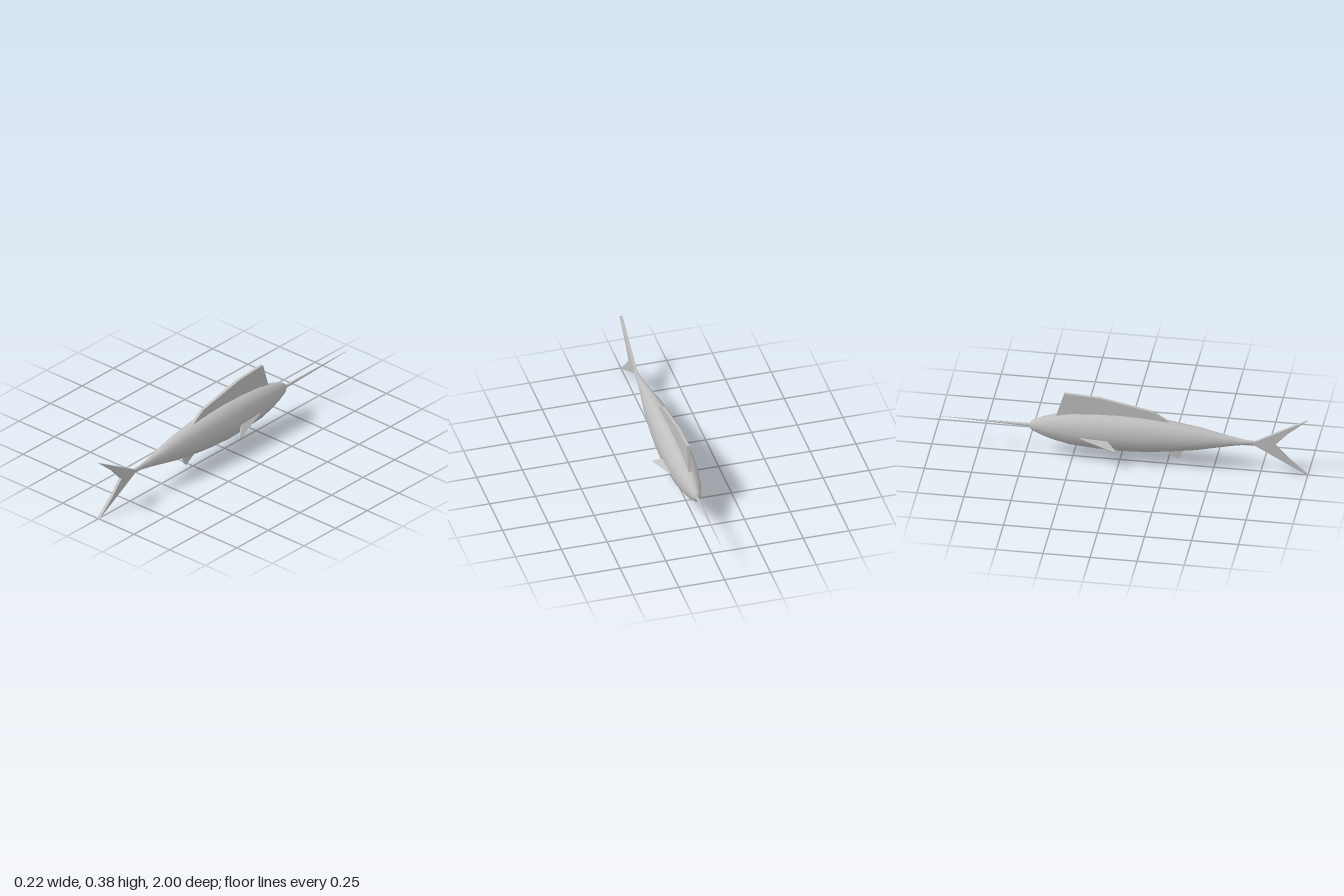
import * as THREE from 'three';

const MID = 0.17; // height of the body axis

// Flat fin: outline given as [z, y] points, thickness along x
function finGeometry(points, thickness) {
  const shape = new THREE.Shape(points.map(([z, y]) => new THREE.Vector2(z, y)));
  const geo = new THREE.ExtrudeGeometry(shape, { depth: thickness, bevelEnabled: false });
  geo.translate(0, 0, -thickness / 2);
  geo.rotateY(-Math.PI / 2);
  return geo;
}

export function createModel() {
  const model = new THREE.Group();
  model.name = 'billfish';
  const grey = new THREE.MeshStandardMaterial({ color: 0xc0c0c0 });
  grey.name = 'plain grey';

  const add = (name, geo) => {
    const mesh = new THREE.Mesh(geo, grey);
    mesh.name = name;
    model.add(mesh);
    return mesh;
  };

  // Body: 12-sided spindle, narrower than tall; [radius, z] from nose to tail
  const profile = [
    [0, -0.483], [0.014, -0.48], [0.032, -0.462], [0.054, -0.41], [0.072, -0.355],
    [0.093, -0.26], [0.103, -0.13], [0.107, 0], [0.102, 0.13], [0.09, 0.25],
    [0.067, 0.41], [0.045, 0.51], [0.026, 0.6], [0.014, 0.67], [0.012, 0.715], [0, 0.716],
  ].map(([r, z]) => new THREE.Vector2(r, z));
  const body = new THREE.LatheGeometry(profile, 12);
  body.rotateX(Math.PI / 2);
  body.scale(0.725, 1, 1);
  add('body', body).position.y = MID;

  // Bill: long thin cone, rising slightly to its tip
  const bill = new THREE.ConeGeometry(0.009, 0.53, 8);
  bill.rotateX(-Math.PI / 2);
  const billMesh = add('bill', bill);
  billMesh.position.set(0, 0.173, -0.735);
  billMesh.rotation.x = 0.014;

  // Upright fins on the centre line
  const t = 0.017;
  add('dorsalFin', finGeometry([
    [0.27, 0.25], [0.18, 0.31], [-0.11, 0.37], [-0.295, 0.381], [-0.345, 0.22], [0, 0.22],
  ], t));
  add('tailFin', finGeometry([
    [0.7, MID], [1, 0.001], [0.892, 0.097], [0.825, 0.171], [0.892, 0.245], [1, 0.337],
  ], t));
  add('analFin', finGeometry([
    [0.335, 0.11], [0.333, 0.083], [0.313, 0.037], [0.225, 0.092], [0.225, 0.12],
  ], t));

  // Side fins: swept back, sloping outward and down
  const sideFin = finGeometry([
    [-0.21, -0.02], [-0.08, -0.02], [0, 0.057], [-0.012, 0.06], [-0.2, 0.003],
  ], 0.012);
  for (const side of [1, -1]) {
    const fin = add(side > 0 ? 'leftSideFin' : 'rightSideFin', sideFin);
    fin.position.set(side * 0.066, 0.148, 0);
    fin.rotation.z = -side * 2.378;
  }

  return model;
}
